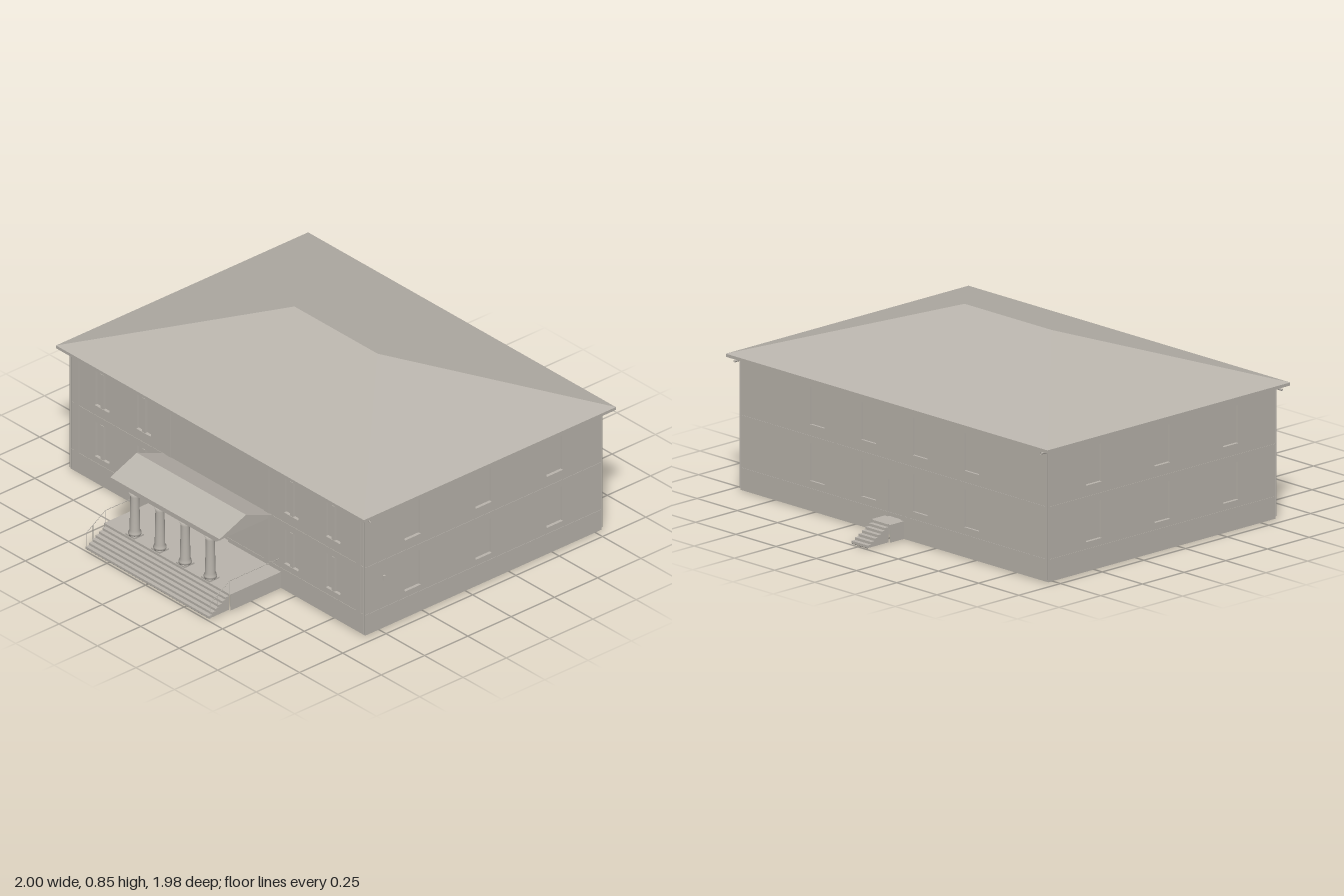
import * as THREE from 'three';
import { ConvexGeometry } from 'three/addons/geometries/ConvexGeometry.js';

const stone = new THREE.MeshStandardMaterial({ color: 0xbab5ad, side: THREE.DoubleSide });
stone.name = 'warm grey';

function add(parent, name, geometry) {
  const mesh = new THREE.Mesh(geometry, stone);
  mesh.name = name;
  parent.add(mesh);
  return mesh;
}

// Box given by its limits on each axis
function box(parent, name, x0, x1, y0, y1, z0, z1) {
  const m = add(parent, name, new THREE.BoxGeometry(x1 - x0, y1 - y0, z1 - z0));
  m.position.set((x0 + x1) / 2, (y0 + y1) / 2, (z0 + z1) / 2);
  return m;
}

// Thin round bar between two points
function bar(parent, name, a, b, r) {
  const path = new THREE.LineCurve3(new THREE.Vector3(...a), new THREE.Vector3(...b));
  return add(parent, name, new THREE.TubeGeometry(path, 1, r, 6));
}

function hull(parent, name, points) {
  return add(parent, name, new ConvexGeometry(points.map((p) => new THREE.Vector3(...p))));
}

const toVectors = (points) => points.map((p) => new THREE.Vector2(...p));

// Outline of [z, y] points extruded along x between two limits
function extrudeX(parent, name, points, x0, x1) {
  const geo = new THREE.ExtrudeGeometry(new THREE.Shape(toVectors(points)), { depth: x1 - x0, bevelEnabled: false });
  geo.rotateY(-Math.PI / 2);
  geo.translate(x1, 0, 0);
  return add(parent, name, geo);
}

const H = 0.595;

// Thin wall facing local +z; each opening [x, y0, y1, width] is a shallow recess
function wall(parent, name, width, openings) {
  const g = new THREE.Group();
  g.name = name;
  parent.add(g);
  const w = width / 2;
  const shape = new THREE.Shape(toVectors([[-w, 0], [w, 0], [w, H], [-w, H]]));
  for (const [x, y0, y1, ow] of openings) {
    const a = x - ow / 2, b = x + ow / 2;
    shape.holes.push(new THREE.Path(toVectors([[a, y0], [a, y1], [b, y1], [b, y0]])));
    // recess: a box without its outward face
    const recess = box(g, 'recess', a, b, y0, y1, -0.01, 0).geometry;
    const index = Array.from(recess.index.array);
    recess.setIndex([...index.slice(0, 24), ...index.slice(30)]);
    recess.clearGroups();
  }
  add(g, 'wallPanel', new THREE.ShapeGeometry(shape));
  for (const y of [0.1, 0.337]) box(g, 'stringCourse', -w, w, y - 0.002, y + 0.002, 0, 0.0015);
  return g;
}

// Upper and lower windows with sills
function windows(xs) {
  return xs.flatMap((x) => [[x, 0.39, 0.56, 0.09], [x, 0.135, 0.305, 0.09]]);
}

function sills(parent, xs) {
  for (const x of xs) {
    for (const y of [0.135, 0.39]) box(parent, 'sill', x - 0.045, x + 0.045, y - 0.004, y, 0, 0.005);
  }
}

// Hollow run of floor or steps: a thin top shell with closed sides, open below
function shell(parent, name, profile, halfWidth) {
  const t = 0.003;
  const inner = profile.map(([z, y]) => [z - t, y - t]).reverse();
  extrudeX(parent, name, [...profile, ...inner], -halfWidth, halfWidth);
  const side = [...profile, [profile.at(-1)[0] - t, 0], [profile[0][0], 0]];
  for (const s of [-1, 1]) {
    const x = s * (halfWidth - t / 2);
    extrudeX(parent, name + 'Side', side, x - t / 2, x + t / 2);
  }
}

// Profile of descending steps as [z, y] points
function stepProfile(zTop, zFoot, height, count) {
  const points = [[zTop, height]];
  for (let i = 0; i <= count; i++) {
    const z = zTop + ((zFoot - zTop) * i) / count;
    if (i > 0) points.push([z, height * (1 - i / (count + 1))]);
    points.push([z, height * (1 - (i + 1) / (count + 1))]);
  }
  return points;
}

export function createModel() {
  const house = new THREE.Group();
  house.name = 'house';
  const X = 0.957, ZF = 0.582, ZB = -0.782, ZM = (ZF + ZB) / 2, D = ZF - ZB;

  // Walls, open underneath
  const frontXs = [-0.75, -0.48, 0.48, 0.75], backXs = [-0.48, -0.16, 0.16, 0.48], sideXs = [-0.41, 0, 0.41];
  const front = wall(house, 'frontWall', 2 * X, [...windows(frontXs), [0, 0.08, 0.28, 0.13]]);
  front.position.z = ZF;
  sills(front, frontXs);
  const back = wall(house, 'backWall', 2 * X, [...windows(backXs), [0, 0.08, 0.25, 0.08]]);
  back.rotation.y = Math.PI;
  back.position.z = ZB;
  box(house, 'sideBox', X, X + 0.008, 0.24, 0.262, 0.47, 0.482);

  for (const s of [-1, 1]) {
    const side = wall(house, 'sideWall', D, windows(sideXs));
    side.rotation.y = (s * Math.PI) / 2;
    side.position.set(s * X, 0, ZM);
    sills(side, sideXs);

    // Front mullions, pilasters and wall lamps
    for (const x of [0.48, 0.75]) {
      for (const y of [0.135, 0.39]) box(front, 'mullion', s * x - 0.01, s * x + 0.01, y, y + 0.17, -0.01, 0.003);
    }
    for (const x of [0.32, 0.915]) box(front, 'pilaster', s * x - 0.015, s * x + 0.015, 0.1, 0.57, 0, 0.005);
    box(front, 'wallLamp', s * 0.15 - 0.006, s * 0.15 + 0.006, 0.242, 0.265, 0, 0.01);

    // Downpipes at the corners with elbows under the eaves
    for (const z of [ZF + 0.004, ZB - 0.004]) {
      bar(house, 'downpipe', [s * 0.953, 0.01, z], [s * 0.953, 0.59, z], 0.004);
    }
    bar(house, 'pipeElbow', [s * 0.953, 0.588, ZF + 0.004], [s * 0.995, 0.588, ZF + 0.004], 0.005);
    bar(house, 'pipeElbow', [s * 0.953, 0.588, ZB - 0.004], [s * 0.953, 0.588, -0.823], 0.005);
  }

  // Ceiling, eaves and hipped roof
  box(house, 'ceiling', -0.965, 0.965, 0.593, 0.602, ZB - 0.01, ZF + 0.01);
  box(house, 'eaves', -1, 1, 0.6, 0.614, -0.828, 0.628);
  hull(house, 'hippedRoof', [
    [-1, 0.614, 0.628], [1, 0.614, 0.628], [-1, 0.614, -0.828], [1, 0.614, -0.828],
    [-0.27, 0.845, -0.1], [0.27, 0.845, -0.1],
  ]);

  // Front porch floor and steps
  const porch = new THREE.Group();
  porch.name = 'porch';
  house.add(porch);
  shell(porch, 'porchFloor', [[ZF, 0.08], [0.875, 0.08]], 0.41);
  shell(porch, 'frontSteps', stepProfile(0.875, 0.99, 0.08, 6), 0.4);

  // Columns
  const profile = toVectors([[0, 0], [0.029, 0], [0.029, 0.012], [0.023, 0.025], [0.02, 0.19], [0.028, 0.213], [0, 0.213]]);
  for (const x of [-0.245, -0.082, 0.082, 0.245]) {
    const c = add(porch, 'column', new THREE.LatheGeometry(profile, 16));
    c.position.set(x, 0.085, 0.844);
    box(porch, 'columnBase', x - 0.028, x + 0.028, 0.08, 0.088, 0.816, 0.872);
  }

  // Stepped entablature, gable and overhanging porch roof
  box(porch, 'lowerBeam', -0.31, 0.31, 0.298, 0.314, ZF, 0.868);
  box(porch, 'upperBeam', -0.33, 0.33, 0.314, 0.333, ZF, 0.878);
  extrudeX(porch, 'gable', [[ZF, 0.333], [0.88, 0.333], [0.735, 0.395]], -0.335, 0.335);
  extrudeX(porch, 'porchRoof', [
    [ZF - 0.006, 0.338], [0.735, 0.401], [0.888, 0.338], [0.888, 0.33], [0.735, 0.392], [ZF - 0.006, 0.33],
  ], -0.355, 0.355);
  box(porch, 'doorHead', -0.11, 0.11, 0.288, 0.298, ZF, 0.597);

  // Railings
  for (const s of [-1, 1]) {
    const x = s * 0.403;
    bar(porch, 'handrail', [x, 0.145, ZF], [x, 0.145, 0.875], 0.0015);
    bar(porch, 'stairRail', [x, 0.145, 0.875], [x, 0.075, 0.985], 0.0015);
    for (const [z, y0, y1] of [[0.875, 0.07, 0.145], [0.945, 0.02, 0.1], [0.985, 0, 0.075]]) {
      bar(porch, 'railPost', [x, y0, z], [x, y1, z], 0.0015);
    }
  }

  // Back landing and steps
  const rear = new THREE.Group();
  rear.name = 'backStairs';
  rear.rotation.y = Math.PI;
  house.add(rear);
  shell(rear, 'backLanding', [[-ZB, 0.08], [0.865, 0.08]], 0.06);
  shell(rear, 'backSteps', stepProfile(0.865, 0.99, 0.08, 6), 0.05);

  return house;
}
